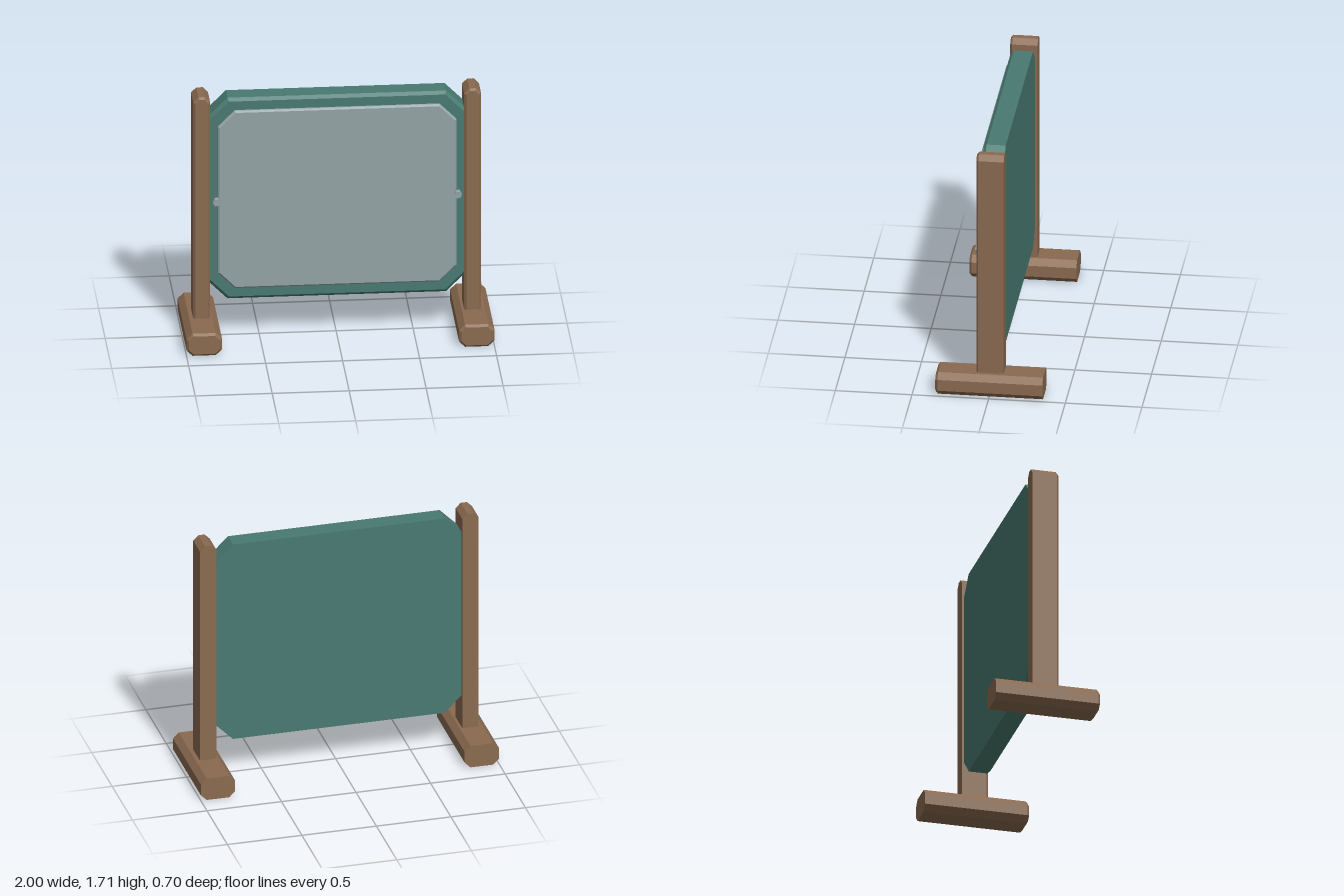
import * as THREE from 'three';

const wood = new THREE.MeshStandardMaterial({ color: 0x8a6a50, name: 'wood' });
const teal = new THREE.MeshStandardMaterial({ color: 0x487a71, name: 'teal' });
const grey = new THREE.MeshStandardMaterial({ color: 0x94a4a6, name: 'grey' });

// Corner-cut rectangle, counter-clockwise from the front, inset evenly on all eight sides
function octagon(w, h, cut, inset, z) {
  const a = w / 2 - inset, b = h / 2 - inset, c = cut - inset * (2 - Math.SQRT2);
  return [[a, c - b], [a, b - c], [a - c, b], [c - a, b], [-a, b - c], [-a, c - b], [c - a, -b], [a - c, -b]]
    .map(([x, y]) => [x, y, z]);
}

// Octagonal bar along z with a bevelled front rim
function octagonBar(w, h, cut, zBack, zFront, bevel, bevelDepth) {
  const rings = [
    octagon(w, h, cut, 0, zBack),
    octagon(w, h, cut, 0, zFront - bevelDepth),
    octagon(w, h, cut, bevel, zFront),
  ];
  const pos = [];
  const tri = (...points) => points.forEach((p) => pos.push(...p));
  for (let r = 0; r < 2; r++) {
    for (let i = 0; i < 8; i++) {
      const j = (i + 1) % 8;
      const [p, q] = [rings[r], rings[r + 1]];
      tri(p[i], p[j], q[j]);
      tri(p[i], q[j], q[i]);
    }
  }
  for (let i = 1; i < 7; i++) {
    tri(rings[2][0], rings[2][i], rings[2][i + 1]);
    tri(rings[0][0], rings[0][i + 1], rings[0][i]);
  }
  const geometry = new THREE.BufferGeometry();
  geometry.setAttribute('position', new THREE.Float32BufferAttribute(pos, 3));
  geometry.computeVertexNormals();
  return geometry;
}

export function createModel() {
  const group = new THREE.Group();
  group.name = 'standingBoard';
  const add = (name, geometry, material, x, y, z = 0) => {
    const mesh = new THREE.Mesh(geometry, material);
    mesh.name = name;
    mesh.position.set(x, y, z);
    group.add(mesh);
  };

  // Board: its side edges are let into the posts
  add('frame', octagonBar(1.76, 1.41, 0.17, -0.075, 0.07, 0.02, 0.02), teal, 0, 0.98);
  add('panel', octagonBar(1.55, 1.245, 0.11, 0.06, 0.093, 0.011, 0.011), grey, 0, 0.982);

  // Posts, feet and knobs, mirrored
  const foot = octagonBar(0.23, 0.155, 0.039, -0.35, 0.35, 0.015, 0.015);
  const post = octagonBar(0.11, 1.605, 0.034, -0.09, 0.09, 0.014, 0.014);
  const knob = new THREE.CylinderGeometry(0.026, 0.026, 0.035, 6).toNonIndexed();
  knob.rotateX(Math.PI / 2).rotateZ(Math.PI / 6);
  knob.computeVertexNormals();
  for (const [side, s] of [['left', 1], ['right', -1]]) {
    add(side + 'Foot', foot, wood, s * 0.885, 0.0775);
    add(side + 'Post', post, wood, s * 0.88, 0.9025);
    add(side + 'Knob', knob, grey, s * 0.783, 0.972, 0.0915);
  }
  return group;
}
